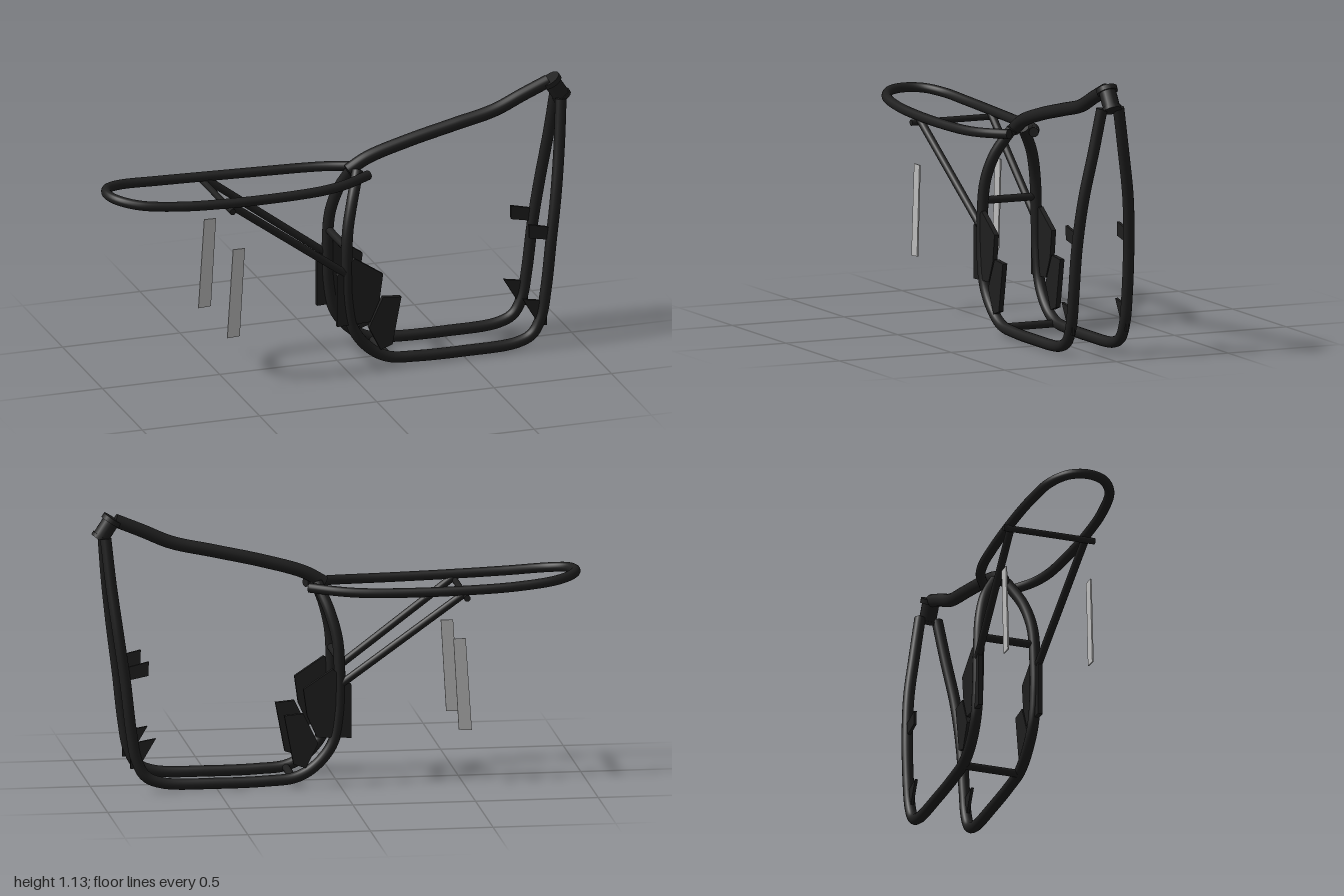
import * as THREE from 'three';

const dark = new THREE.MeshStandardMaterial({ color: 0x1f1f1f });
dark.name = 'black steel';
const grey = new THREE.MeshStandardMaterial({ color: 0xbcbcbc });
grey.name = 'light grey';

const vec = (p) => new THREE.Vector3(...p);

// Round tube through points, closed with flat end caps
function tube(name, points, radius, segments = 80) {
  const group = new THREE.Group();
  group.name = name;
  const curve = new THREE.CatmullRomCurve3(points.map(vec));
  group.add(new THREE.Mesh(new THREE.TubeGeometry(curve, segments, radius, 16), dark));
  for (const t of [0, 1]) {
    const cap = new THREE.Mesh(new THREE.CircleGeometry(radius, 16), dark);
    const out = curve.getTangent(t).multiplyScalar(t ? 1 : -1);
    cap.position.copy(curve.getPoint(t));
    cap.quaternion.setFromUnitVectors(new THREE.Vector3(0, 0, 1), out);
    group.add(cap);
  }
  group.children.forEach((m) => { m.name = name; });
  return group;
}

// Straight rod between two points
function rod(name, a, b, radius) {
  const from = vec(a), to = vec(b);
  const mesh = new THREE.Mesh(new THREE.CylinderGeometry(radius, radius, from.distanceTo(to), 16), dark);
  mesh.position.copy(from).add(to).multiplyScalar(0.5);
  mesh.quaternion.setFromUnitVectors(new THREE.Vector3(0, 1, 0), to.sub(from).normalize());
  mesh.name = name;
  return mesh;
}

// Flat plate with an outline in x and y, centred at depth z
function plate(name, outline, z, thickness, material) {
  const shape = new THREE.Shape(outline.map(([x, y]) => new THREE.Vector2(x, y)));
  const geometry = new THREE.ExtrudeGeometry(shape, { depth: thickness, bevelEnabled: false });
  const mesh = new THREE.Mesh(geometry, material);
  mesh.position.z = z - thickness / 2;
  mesh.name = name;
  return mesh;
}

export function createModel() {
  const model = new THREE.Group();
  model.name = 'motorcycleFrame';

  // Parts mirrored on both sides
  for (const s of [1, -1]) {
    const side = s > 0 ? 'front' : 'back';

    // Cradle: down tube, bottom rail and rear upright in one bent tube
    const cradle = [
      [0.942, 1.03, 0.037], [0.925, 0.85, 0.067], [0.9, 0.65, 0.1], [0.873, 0.45, 0.116],
      [0.85, 0.25, 0.12], [0.828, 0.13, 0.12], [0.79, 0.062, 0.12], [0.72, 0.033, 0.12],
      [0.5, 0.025, 0.12], [0.3, 0.028, 0.12], [0.18, 0.04, 0.12], [0.1, 0.085, 0.12],
      [0.03, 0.175, 0.122], [0.004, 0.3, 0.123], [0, 0.45, 0.121], [0.008, 0.6, 0.112],
      [0.035, 0.71, 0.085], [0.062, 0.78, 0.05], [0.078, 0.82, 0.025],
    ].map(([x, y, z]) => [x, y, z * s]);
    model.add(tube(side + 'Cradle', cradle, 0.023, 160));

    // Seat strut
    model.add(rod(side + 'SeatStrut', [-0.5, 0.785, 0.16 * s], [-0.01, 0.425, 0.128 * s], 0.016));

    // Swing arm and footrest plates
    model.add(plate(side + 'SwingArmPlate', [
      [-0.045, 0.2], [0.095, 0.205], [0.135, 0.295], [0.15, 0.405], [0.03, 0.485], [-0.045, 0.42],
    ], 0.128 * s, 0.02, dark));
    model.add(plate(side + 'FootrestPlate', [
      [0.14, 0.08], [0.19, 0.097], [0.228, 0.298], [0.15, 0.305], [0.09, 0.18],
    ], 0.128 * s, 0.02, dark));

    // Engine mounting tabs
    model.add(plate(side + 'UpperEngineTab', [
      [0.78, 0.477], [0.865, 0.46], [0.875, 0.512], [0.778, 0.535],
    ], 0.115 * s, 0.012, dark));
    model.add(plate(side + 'LowerEngineTab', [
      [0.75, 0.218], [0.82, 0.1], [0.853, 0.095], [0.853, 0.2],
    ], 0.12 * s, 0.012, dark));

    // Pale shock strips
    model.add(plate(side + 'ShockStrip', [
      [-0.53, 0.227], [-0.477, 0.23], [-0.455, 0.606], [-0.505, 0.606],
    ], 0.181 * s, 0.006, grey));
  }

  // Seat loop, bent round the tail
  const half = [
    [0.115, 0.807, 0.055], [0, 0.8, 0.112], [-0.1, 0.796, 0.138], [-0.25, 0.795, 0.153],
    [-0.5, 0.799, 0.162], [-0.72, 0.808, 0.155], [-0.88, 0.822, 0.127], [-0.955, 0.833, 0.072],
  ];
  const mirrored = half.map(([x, y, z]) => [x, y, -z]).reverse();
  model.add(tube('seatLoop', [...half, [-0.978, 0.836, 0], ...mirrored], 0.02, 160));

  // Backbone
  model.add(tube('backbone', [
    [0.045, 0.815, 0], [0.13, 0.862, 0], [0.3, 0.913, 0], [0.5, 0.96, 0],
    [0.67, 1, 0], [0.79, 1.052, 0], [0.9, 1.098, 0],
  ], 0.027));

  // Cross members
  model.add(rod('seatCrossbar', [-0.51, 0.773, -0.195], [-0.51, 0.773, 0.195], 0.013));
  model.add(rod('rearCrossbar', [0.003, 0.525, -0.115], [0.003, 0.525, 0.115], 0.016));
  model.add(rod('bottomCrossbar', [0.187, 0.032, -0.12], [0.187, 0.032, 0.12], 0.016));

  // Steering head with a flange at each end
  const top = [0.907, 1.107, 0], bottom = [0.962, 1.022, 0];
  const along = (t) => top.map((v, i) => v + (bottom[i] - v) * t);
  model.add(rod('steeringHead', along(0.05), along(0.95), 0.035));
  model.add(rod('upperFlange', along(0), along(0.2), 0.043));
  model.add(rod('lowerFlange', along(0.85), along(1), 0.039));

  return model;
}
